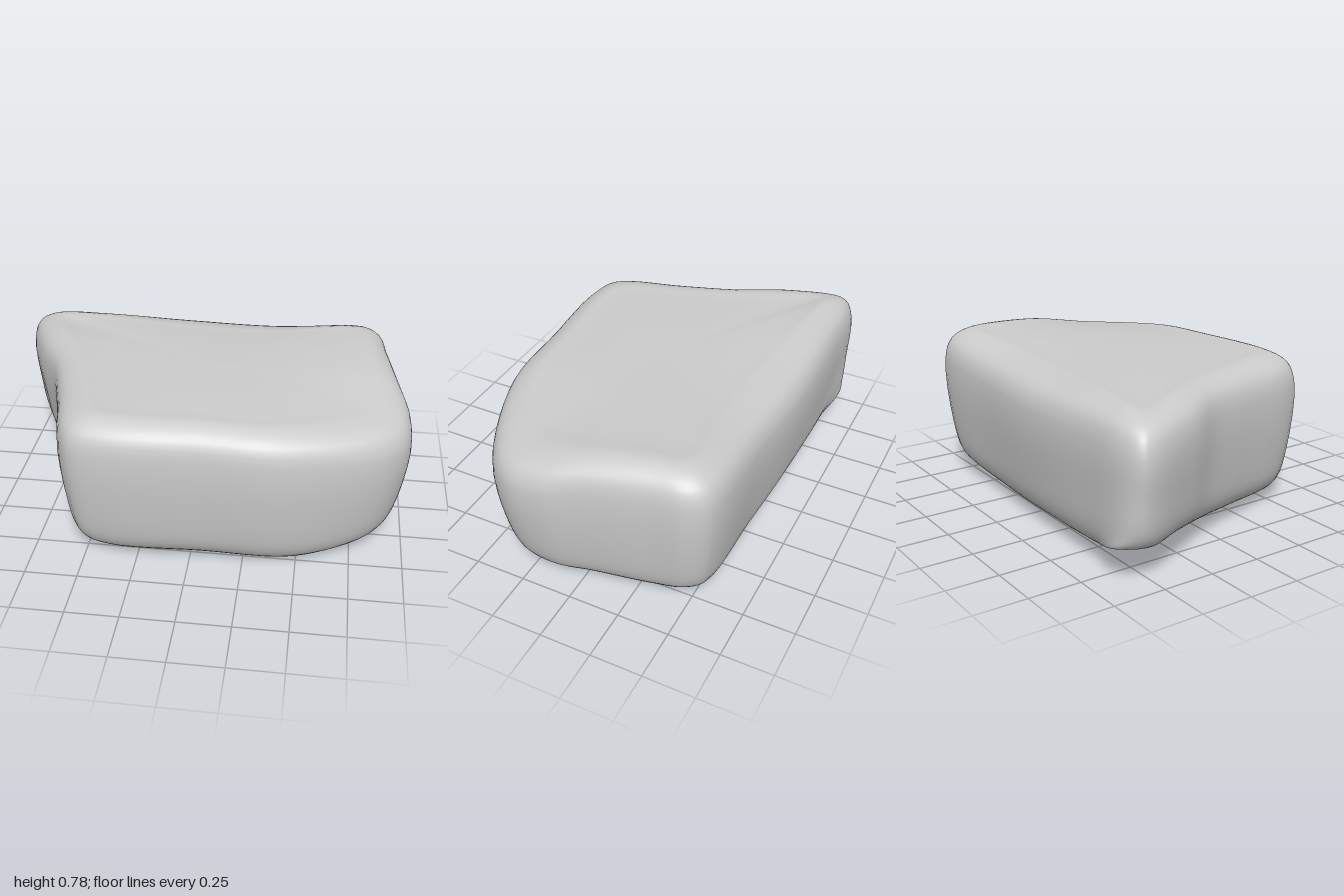
import * as THREE from 'three';

// Three matching rings, each running from the tail along the back, right-hand end and front.
// Widest line of the walls: [x, z]
const WALL = [
  [-1, -0.585], [-0.93, -0.64], [-0.6, -0.658], [-0.15, -0.658], [0.3, -0.632], [0.79, -0.61],
  [0.87, -0.53], [0.9, -0.35], [0.96, -0.05], [1, 0.12], [0.985, 0.3], [0.87, 0.44],
  [0.43, 0.622], [0.05, 0.638], [-0.38, 0.654], [-0.56, 0.6], [-0.69, 0.2], [-0.77, -0.05], [-0.9, -0.28],
];
// Rim of the top: [x, y, z]
const TOP = [
  [-0.87, 0.72, -0.51], [-0.82, 0.73, -0.54], [-0.58, 0.74, -0.52], [-0.15, 0.735, -0.48],
  [0.3, 0.74, -0.46], [0.72, 0.765, -0.49], [0.77, 0.768, -0.44], [0.79, 0.768, -0.33],
  [0.84, 0.745, -0.05], [0.85, 0.715, 0.12], [0.82, 0.695, 0.25], [0.73, 0.695, 0.35],
  [0.4, 0.72, 0.51], [0.05, 0.735, 0.53], [-0.38, 0.743, 0.54], [-0.47, 0.743, 0.5],
  [-0.57, 0.743, 0.2], [-0.66, 0.743, -0.05], [-0.78, 0.738, -0.29],
];
// Rim of the underside: [x, y, z]
const BASE = [
  [-0.91, 0.155, -0.52], [-0.86, 0.16, -0.64], [-0.58, 0.08, -0.58], [-0.15, 0.035, -0.53],
  [0.3, 0.025, -0.51], [0.69, 0.045, -0.49], [0.74, 0.045, -0.43], [0.76, 0.03, -0.33],
  [0.8, 0.025, -0.05], [0.82, 0.02, 0.1], [0.8, 0.02, 0.22], [0.7, 0.01, 0.35],
  [0.5, 0, 0.46], [0.05, 0.015, 0.5], [-0.38, 0.02, 0.51], [-0.46, 0.035, 0.49],
  [-0.55, 0.05, 0.2], [-0.66, 0.085, -0.05], [-0.78, 0.12, -0.29],
];

const AROUND = 114;
const UP = 44;
const FLOOR = new THREE.Vector3(0.1, 0.012, 0);
const ROOF = new THREE.Vector3(0.05, 0.75, 0);

const ring = (points) => new THREE.CatmullRomCurve3(
  points.map((p) => new THREE.Vector3(...p)), true, 'centripetal');

// Point between two others in plan, at its own height
const between = (a, b, f, y) => a.clone().lerp(b, f).setY(y);

function stoneGeometry() {
  const wallRing = ring(WALL.map(([x, z]) => [x, 0, z]));
  const topRing = ring(TOP);
  const baseRing = ring(BASE);
  const positions = [];
  const indices = [];

  // One rib per step: from the middle of the underside, up the wall, to the middle of the top
  for (let i = 0; i < AROUND; i++) {
    const wall = wallRing.getPoint(i / AROUND);
    const top = topRing.getPoint(i / AROUND);
    const base = baseRing.getPoint(i / AROUND);
    const roofRise = (f) => THREE.MathUtils.lerp(top.y, ROOF.y, f);
    const rib = new THREE.CatmullRomCurve3([
      FLOOR,
      base.clone().lerp(FLOOR, 0.5),
      base.clone().lerp(FLOOR, 0.12),
      base,
      between(base, wall, 0.55, base.y + 0.065),
      between(base, wall, 0.85, base.y + 0.23),
      between(base, wall, 1, top.y - 0.15),
      between(wall, top, 0.27, top.y - 0.05),
      top,
      between(top, ROOF, 0.15, roofRise(0.3)),
      between(top, ROOF, 0.5, roofRise(0.85)),
      ROOF,
    ], false, 'centripetal');
    for (let k = 0; k <= UP; k++) positions.push(...rib.getPoint(k / UP).toArray());
  }

  // Skin between neighbouring ribs, single triangles where they meet in the middle
  for (let i = 0; i < AROUND; i++) {
    for (let k = 0; k < UP; k++) {
      const a = i * (UP + 1) + k;
      const b = ((i + 1) % AROUND) * (UP + 1) + k;
      if (k > 0) indices.push(a, a + 1, b);
      if (k < UP - 1) indices.push(b, a + 1, b + 1);
    }
  }

  const geometry = new THREE.BufferGeometry();
  geometry.setAttribute('position', new THREE.Float32BufferAttribute(positions, 3));
  geometry.setIndex(indices);
  geometry.computeVertexNormals();
  return geometry;
}

export function createModel() {
  const group = new THREE.Group();
  group.name = 'rock';
  const stone = new THREE.Mesh(stoneGeometry(), new THREE.MeshStandardMaterial({ color: 0xcccccc }));
  stone.name = 'stone';
  group.add(stone);
  return group;
}
